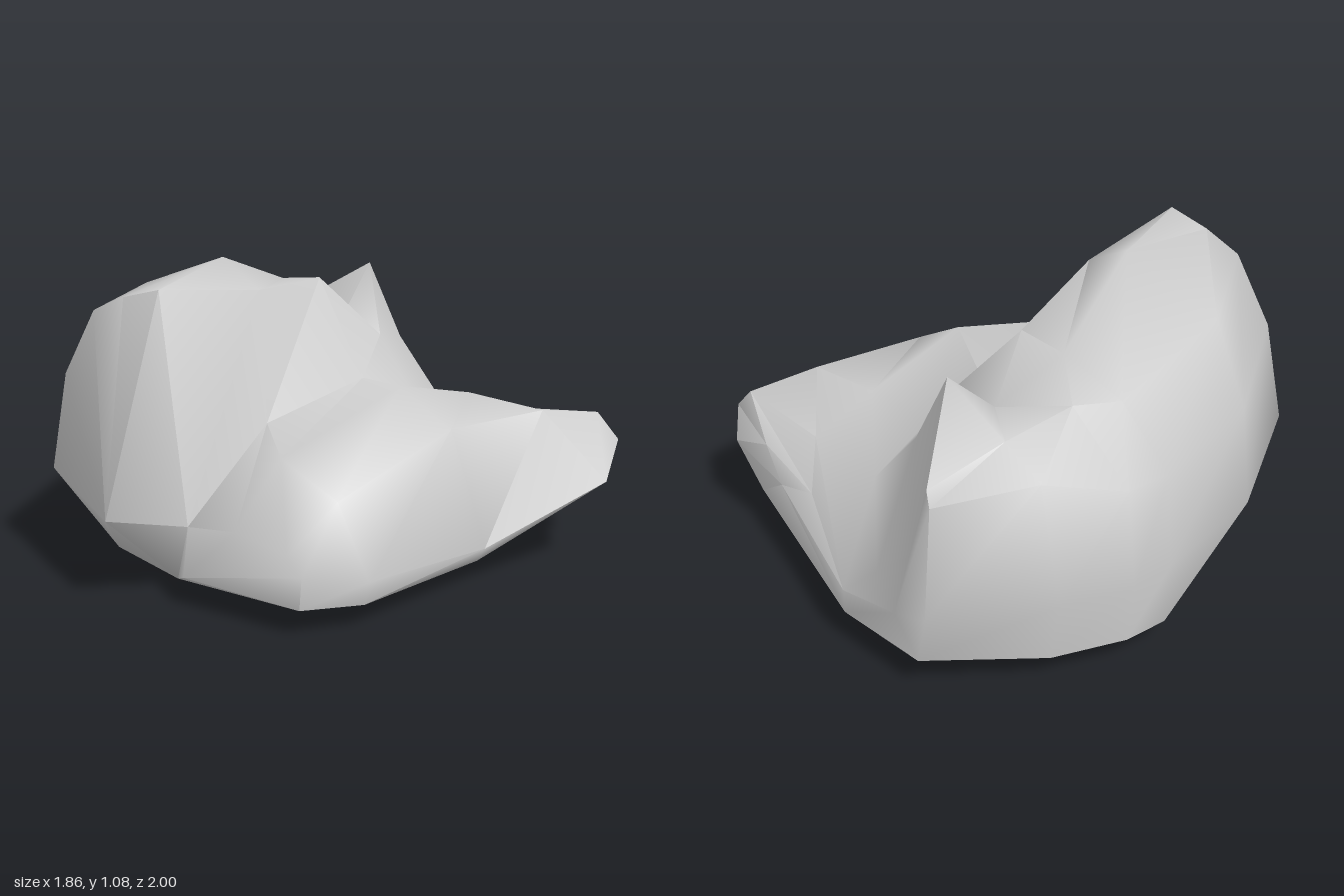
import * as THREE from 'three';
import { toCreasedNormals } from 'three/addons/utils/BufferGeometryUtils.js';

// Cross-sections from front to back. Each runs x, y from the left foot, over the
// tall block, down its cliff, over the low lobe and back along the underside.
const SECTIONS = [
  [-.45, .05, -.65, .34, -.56, .7, -.4, .94, -.25, 1, -.08, 1.04, .03, .26, .25, .29, .47, .26, .53, .2, .52, .09, -.15, 0],
  [-.66, .08, -.87, .29, -.82, .65, -.68, .95, -.28, 1.08, -.09, .98, .04, .54, .28, .5, .52, .4, .65, .16, .63, .08, -.14, .03],
  [-.92, .09, -.93, .32, -.9, .66, -.7, .85, -.45, .93, -.26, .95, .04, .61, .34, .65, .56, .53, .71, .13, .68, .08, -.1, .04],
  [-.9, .1, -.92, .32, -.88, .67, -.64, .88, -.3, .74, -.09, .72, .05, .53, .34, .55, .66, .53, .93, .31, .66, .1, -.1, .05],
  [-.78, .1, -.81, .32, -.73, .74, -.58, .83, -.33, .96, -.17, .67, .05, .42, .37, .45, .75, .49, .84, .4, .7, .16, -.05, .07],
  [-.5, .12, -.54, .3, -.58, .74, -.57, .8, -.5, .55, -.32, .38, -.14, .21, .3, .28, .55, .38, .74, .32, .6, .16, -.14, .12],
];
// Depth of every section in the block and in the lobe
const BLOCK_Z = [.78, .27, -.25, -.42, -.66, -.98];
const LOBE_Z = [.79, .6, .03, -.41, -.66, -.75];
const N = 12;

function rockGeometry() {
  const positions = [], index = [];
  SECTIONS.forEach((s, i) => {
    for (let j = 0; j < N; j++) {
      const x = s[2 * j], y = s[2 * j + 1];
      const t = THREE.MathUtils.smoothstep(x, -.15, .3);
      // The front foot of the block is undercut
      const undercut = i === 0 && x < 0 && y < .1 ? .12 : 0;
      positions.push(x, y, THREE.MathUtils.lerp(BLOCK_Z[i], LOBE_Z[i], t) - undercut);
    }
  });

  // Skin between neighbouring sections
  for (let i = 0; i < SECTIONS.length - 1; i++) {
    for (let j = 0; j < N; j++) {
      const a = i * N + j, b = i * N + (j + 1) % N;
      index.push(a, b, a + N, b, b + N, a + N);
    }
  }

  // End faces: one fan for the block and one for the lobe
  const fan = (section, loop, apex, front) => {
    const centre = positions.length / 3;
    positions.push(...apex);
    loop.forEach((j, k) => {
      const a = section * N + j, b = section * N + loop[(k + 1) % loop.length];
      index.push(centre, ...(front ? [b, a] : [a, b]));
    });
  };
  const block = [0, 1, 2, 3, 4, 5, 6, 11], lobe = [6, 7, 8, 9, 10, 11];
  const last = SECTIONS.length - 1;
  fan(0, block, [-.13, .3, 1], true);
  fan(0, lobe, [.05, .1, .83], true);
  fan(last, block, [-.42, .28, -1], false);
  fan(last, lobe, [.45, .26, -.77], false);

  const geometry = new THREE.BufferGeometry();
  geometry.setAttribute('position', new THREE.Float32BufferAttribute(positions, 3));
  geometry.setIndex(index);
  return toCreasedNormals(geometry, 1.1);
}

export function createModel() {
  const group = new THREE.Group();
  group.name = 'rock';
  const rock = new THREE.Mesh(rockGeometry(), new THREE.MeshStandardMaterial({ color: 0xcccccc }));
  rock.name = 'boulder';
  group.add(rock);
  return group;
}
